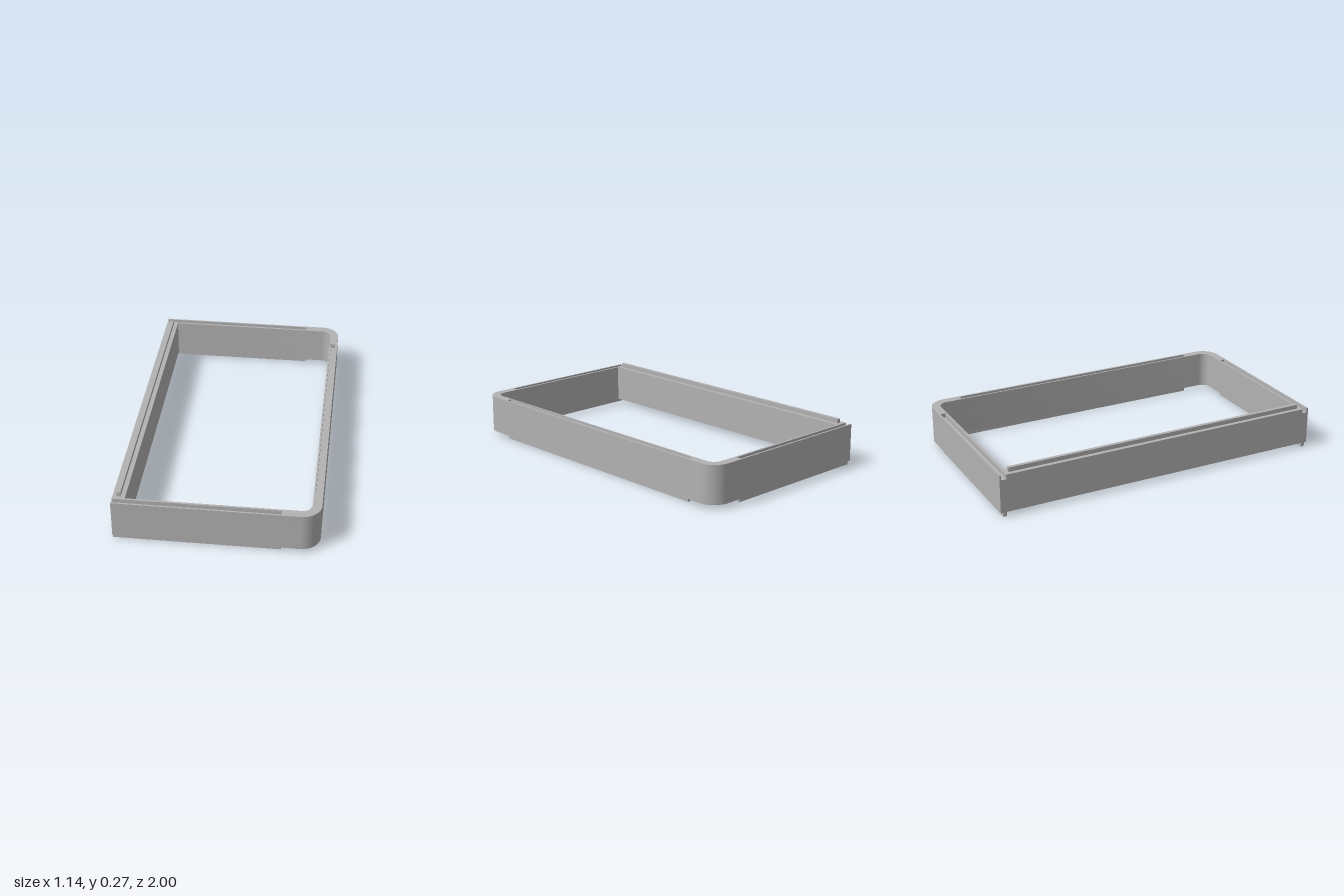
import * as THREE from 'three';
import { toCreasedNormals } from 'three/addons/utils/BufferGeometryUtils.js';

const HX = 0.571, HZ = 1;                 // outer half sizes
const IN_L = -0.5, IN_R = 0.519, IN_Z = 0.948; // inner opening
const R = 0.108;                          // outer corner radius
const Y0 = 0.025, Y1 = 0.248, DEPTH = 0.027;
const SIDE_Z = 0.975, RIGHT_X = 0.543, LEFT_X = -0.536; // rail centre lines
const RAIL = 0.021, GROOVE = 0.029;       // rail and groove widths
const SIDE_END = 0.358, RIGHT_END = 0.79, LEFT_END = 0.935;

// D-shaped outline: square corners on the left, round ones on the right
function outline(path, left, right, z, r) {
  path.moveTo(left, -z);
  path.lineTo(right - r, -z);
  path.absarc(right - r, -z + r, r, -Math.PI / 2, 0, false);
  path.lineTo(right, z - r);
  path.absarc(right - r, z - r, r, 0, Math.PI / 2, false);
  path.lineTo(left, z);
  return path;
}

function slot(cx, halfLength) {
  const w = GROOVE / 2;
  return new THREE.Path([[-w, -1], [-w, 1], [w, 1], [w, -1]]
    .map(([x, s]) => new THREE.Vector2(cx + x, s * halfLength)));
}

// One horizontal layer of the frame
function ring(y0, y1, { sideGrooves = false, slotHole = null } = {}) {
  const shape = outline(new THREE.Shape(), -HX, HX, HZ, R);
  if (sideGrooves) {
    const a = SIDE_Z - GROOVE / 2, b = SIDE_Z + GROOVE / 2;
    for (const [p, q] of [[b, a], [-a, -b]]) {
      shape.lineTo(-HX, p);
      shape.lineTo(SIDE_END, p);
      shape.lineTo(SIDE_END, q);
      shape.lineTo(-HX, q);
    }
  }
  shape.closePath();
  const opening = outline(new THREE.Path(), IN_L, IN_R, IN_Z, R - (HX - IN_R));
  opening.closePath();
  shape.holes.push(opening);
  if (slotHole) shape.holes.push(slotHole);
  const geo = new THREE.ExtrudeGeometry(shape, { depth: y1 - y0, bevelEnabled: false, curveSegments: 16 });
  geo.rotateX(-Math.PI / 2).translate(0, y0, 0);
  return toCreasedNormals(geo, 0.5);
}

export function createModel() {
  const group = new THREE.Group();
  const grey = new THREE.MeshStandardMaterial({ color: 0xb2b2b2 });
  grey.name = 'grey';

  const add = (name, geo) => {
    const mesh = new THREE.Mesh(geo, grey);
    mesh.name = name;
    group.add(mesh);
  };
  const rail = (name, x0, x1, y0, y1, z0, z1) => add(name,
    new THREE.BoxGeometry(x1 - x0, y1 - y0, z1 - z0)
      .translate((x0 + x1) / 2, (y0 + y1) / 2, (z0 + z1) / 2));

  // Frame: grooved bottom, plain middle, grooved top
  add('frameBottom', ring(Y0, Y0 + DEPTH, { slotHole: slot(LEFT_X, LEFT_END + 0.004) }));
  add('frameMiddle', ring(Y0 + DEPTH, Y1 - DEPTH));
  add('frameTop', ring(Y1 - DEPTH, Y1, { sideGrooves: true, slotHole: slot(RIGHT_X, RIGHT_END + 0.004) }));

  // Locating rails: one on top, three underneath
  const w = RAIL / 2;
  rail('topRail', LEFT_X - w, LEFT_X + w, Y1, 0.273, -LEFT_END, LEFT_END);
  rail('bottomEndRail', RIGHT_X - w, RIGHT_X + w, 0, Y0, -RIGHT_END, RIGHT_END);
  for (const [name, s] of [['bottomFrontRail', 1], ['bottomBackRail', -1]])
    rail(name, -HX, SIDE_END, 0, Y0, s * SIDE_Z - w, s * SIDE_Z + w);

  return group;
}
